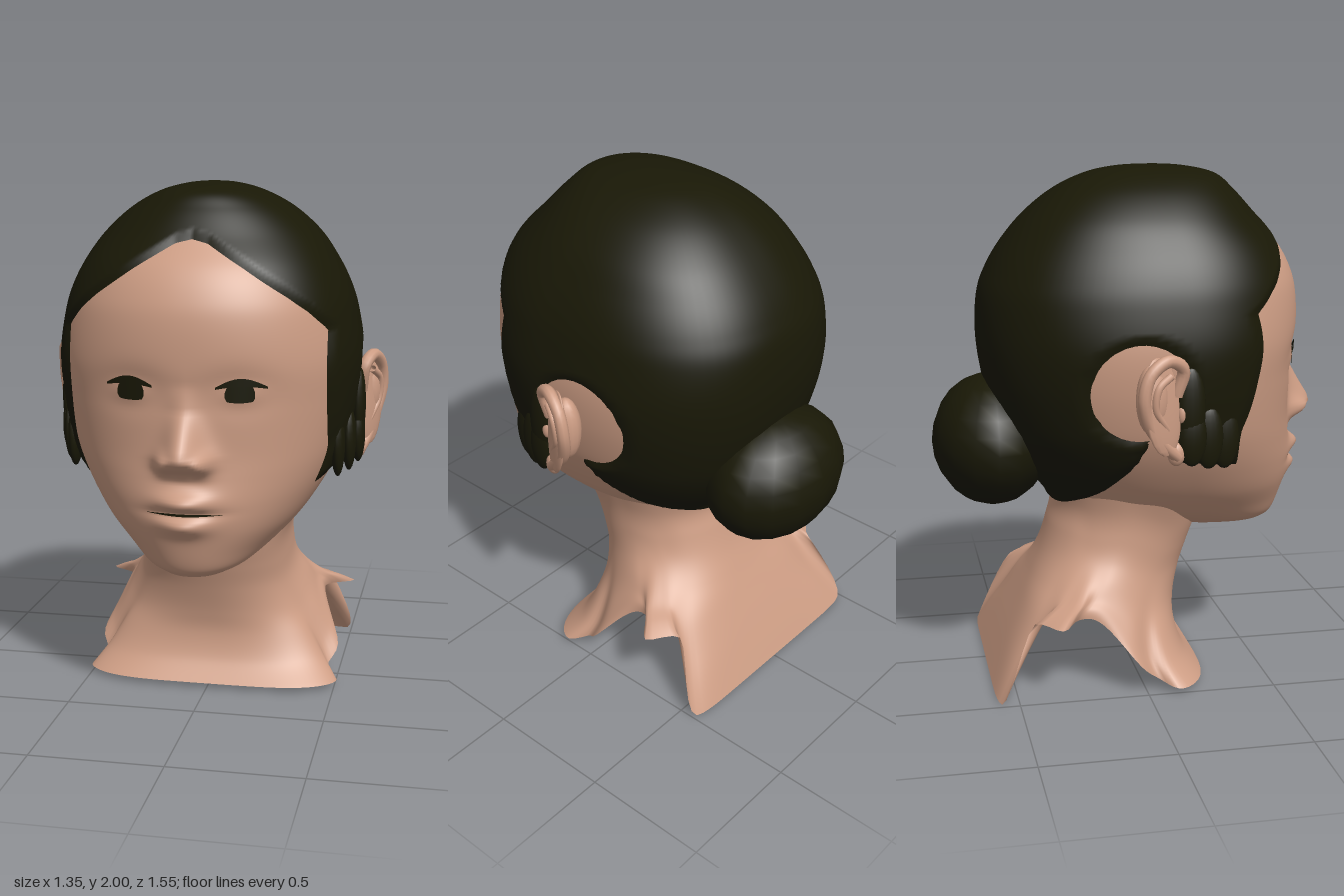
import * as THREE from 'three';
import { mergeVertices } from 'three/addons/utils/BufferGeometryUtils.js';

const material = (name, color) => {
  const m = new THREE.MeshStandardMaterial({ color, side: THREE.DoubleSide });
  m.name = name;
  return m;
};
const clamp = THREE.MathUtils.clamp;
const smooth = THREE.MathUtils.smoothstep;
const gauss = (x, y, cx, cy, sx, sy) => Math.exp(-(((x - cx) / sx) ** 2 + ((y - cy) / sy) ** 2) / 2);

// Piecewise linear lookup through [key, value] pairs
function lookup(pairs, k) {
  if (k <= pairs[0][0]) return pairs[0][1];
  for (let i = 1; i < pairs.length; i++) {
    const [a, va] = pairs[i - 1], [b, vb] = pairs[i];
    if (k <= b) return va + (vb - va) * (k - a) / (b - a);
  }
  return pairs[pairs.length - 1][1];
}

// Smooth interpolation through table rows, t from 0 to 1
function spline(rows, t) {
  const n = rows.length - 1, s = t * n, i = Math.min(Math.floor(s), n - 1), f = s - i;
  const [p, q, r, w] = [i - 1, i, i + 1, i + 2].map(k => rows[clamp(k, 0, n)]);
  return q.map((b, k) => b + 0.5 * f * (r[k] - p[k] + f * (2 * p[k] - 5 * b + 4 * r[k] - w[k]
    + f * (3 * (b - r[k]) + w[k] - p[k]))));
}

// Point on a ring whose front and back halves have their own depth and squareness
function ringPoint(a, hw, front, back, zc, nf, nb) {
  const s = Math.sin(a), c = Math.cos(a), n = c > 0 ? nf : nb;
  const r = 1 / (Math.abs(s) ** n + Math.abs(c) ** n) ** (1 / n);
  return [hw * s * r, zc + (c > 0 ? front - zc : zc - back) * c * r];
}

// Closed surface from fn(t, u): t runs upward, u runs -1..1 around
function loft(rows, cols, fn, keep = () => true) {
  const pos = [], idx = [], kept = [];
  for (let i = 0; i <= rows; i++) for (let j = 0; j <= cols; j++) {
    const p = fn(i / rows, j % cols / cols * 2 - 1);
    pos.push(...p);
    kept.push(keep(p));
  }
  const tri = (a, b, c) => { if (kept[a] || kept[b] || kept[c]) idx.push(a, b, c); };
  for (let i = 0; i < rows; i++) for (let j = 0; j < cols; j++) {
    const a = i * (cols + 1) + j, d = a + cols + 1;
    tri(a, a + 1, d + 1);
    tri(a, d + 1, d);
  }
  let g = new THREE.BufferGeometry();
  g.setAttribute('position', new THREE.Float32BufferAttribute(pos, 3));
  g.setIndex(idx);
  g = mergeVertices(g, 1e-5);
  g.computeVertexNormals();
  return g;
}

// Head rings: height, half width, front, back
const HEAD = [
  [0.55, 0, 0.4, 0.4], [0.556, 0.1, 0.55, 0.22], [0.572, 0.15, 0.59, 0.14], [0.60, 0.205, 0.615, 0.02],
  [0.66, 0.285, 0.635, -0.26], [0.75, 0.37, 0.65, -0.34], [0.85, 0.44, 0.655, -0.42],
  [0.95, 0.495, 0.652, -0.48], [1.05, 0.532, 0.65, -0.52], [1.2, 0.563, 0.658, -0.56],
  [1.35, 0.572, 0.675, -0.578], [1.5, 0.55, 0.673, -0.57], [1.6, 0.52, 0.65, -0.535],
  [1.7, 0.47, 0.595, -0.475], [1.8, 0.4, 0.5, -0.39], [1.89, 0.3, 0.42, -0.28],
  [1.95, 0.19, 0.35, -0.16], [1.978, 0.09, 0.23, -0.04], [1.986, 0, 0.1, 0.1]];
const NOSE = [[0.94, 0], [0.975, 0.03], [1.0, 0.082], [1.03, 0.12], [1.06, 0.113], [1.12, 0.073], [1.2, 0.022], [1.29, 0]];
const FRONT_CURVE = 2.1, BACK_CURVE = 2.45, middle = (front, back) => back + (front - back) * 0.56;

// Relief of nose, lips and eyes
function relief(x, y) {
  const ax = Math.abs(x);
  return lookup(NOSE, y) * gauss(x, 0, 0, 0, lookup([[1.03, 0.056], [1.2, 0.036]], y), 1)
    + 0.042 * gauss(ax, y, 0.072, 1.01, 0.024, 0.026)
    + 0.025 * gauss(x, y, 0, 0.84, 0.13, 0.09)
    + 0.044 * gauss(x, y, 0, 0.868, 0.066, 0.024)
    + 0.038 * gauss(x, y, 0, 0.778, 0.062, 0.026)
    - 0.02 * gauss(x, y, 0, 0.822, 0.08, 0.012)
    - 0.022 * gauss(ax, y, 0.19, 1.27, 0.085, 0.05)
    + 0.02 * gauss(ax, y, 0.2, 1.26, 0.055, 0.03);
}

function headPoint(t, u) {
  const [y, hw, front, back] = spline(HEAD, t);
  const a = Math.PI * (0.5 * u + 0.5 * u ** 3);
  const [x, z] = ringPoint(a, hw, front, back, middle(front, back), FRONT_CURVE, BACK_CURVE);
  return [x, y, z + (Math.cos(a) > 0 ? relief(x, y) * smooth(Math.cos(a), 0.1, 0.5) : 0)];
}

// Depth of the face at a given x and y
function faceZ(x, y) {
  let lo = 0, hi = 1;
  for (let i = 0; i < 30; i++) {
    const m = (lo + hi) / 2;
    if (spline(HEAD, m)[0] < y) lo = m; else hi = m;
  }
  const [, hw, front, back] = spline(HEAD, lo), zc = middle(front, back);
  return zc + (front - zc) * (1 - Math.abs(x / hw) ** FRONT_CURVE) ** (1 / FRONT_CURVE) + relief(x, y);
}

// Signed reach of the hair: positive where hair covers the head
const HAIRLINE = [[0, 1.8], [0.06, 1.785], [0.2, 1.7], [0.35, 1.6], [0.42, 1.545], [0.5, 1.46]];
const NAPE = [[-0.3, 0.66], [-0.15, 0.78], [-0.05, 0.9], [0, 1.02], [0.09, 1.02], [0.12, 0.92], [0.35, 0.89]];
const hairReach = ([x, y, z]) => Math.min(
  Math.max(0.35 - z, y - lookup(HAIRLINE, Math.abs(x)), Math.abs(x) - 0.485),
  Math.hypot(z + 0.04, y - 1.2) - 0.185,
  0.5 * (y - lookup(NAPE, z)));

function hairPoint(t, u) {
  const p = headPoint(t, u), off = clamp(hairReach(p) * 0.6, -0.012, 0.014);
  const dir = new THREE.Vector3(p[0], p[1] - 1.2, p[2] - 0.1).normalize();
  return [p[0] + dir.x * off, p[1] + dir.y * off, p[2] + dir.z * off];
}

// Neck rings: half width, front, back, height at front, side and back, squareness front and back, side pinch
const NECK = [
  [0.36, 0.3, -0.33, 0.72, 0.84, 0.82, 2.1, 2.2, 0], [0.31, 0.285, -0.305, 0.6, 0.67, 0.68, 2.1, 2.2, 0],
  [0.305, 0.25, -0.325, 0.5, 0.56, 0.58, 2.1, 2.2, 0], [0.32, 0.215, -0.355, 0.4, 0.48, 0.48, 2.1, 2.3, 0],
  [0.37, 0.185, -0.395, 0.29, 0.41, 0.39, 2.3, 2.6, 0.03], [0.43, 0.175, -0.44, 0.2, 0.36, 0.3, 2.8, 3.5, 0.1],
  [0.49, 0.2, -0.51, 0.1, 0.33, 0.16, 3.4, 5, 0.16], [0.55, 0.26, -0.585, 0.02, 0.3, 0, 4, 9, 0.24]];
function neckPoint(t, u) {
  const [hw, front, back, yf, ys, yb, nf, nb, pinch] = spline(NECK, 1 - t);
  const a = Math.PI * u, c = Math.cos(a);
  const [x, z] = ringPoint(a, hw, front, back, (front + back) / 2, nf, nb);
  const wf = smooth(c, -0.15, 0.6), wb = smooth(-c, 0.52, 0.75);
  // Ragged shoulder edge: a point behind, a notch in front
  const ragged = 1 - wf - wb - 0.85 * gauss(c, 0, -0.38, 0, 0.07, 1) + 0.5 * gauss(c, 0, 0.45, 0, 0.07, 1);
  return [x * (1 - pinch * ragged), ys + (yf - ys) * wf + (yb - ys) * wb, z];
}

// Thin strip lying on the face between two height curves
function facePlate(x0, x1, low, high, lift) {
  const pos = [], idx = [], n = 16;
  for (let i = 0; i <= n; i++) {
    const x = x0 + (x1 - x0) * i / n, k = Math.sin(Math.PI * i / n);
    for (const y of [low(k), high(k)]) pos.push(x, y, faceZ(x, y) + lift);
    if (i < n) idx.push(2 * i, 2 * i + 2, 2 * i + 3, 2 * i, 2 * i + 3, 2 * i + 1);
  }
  const g = new THREE.BufferGeometry();
  g.setAttribute('position', new THREE.Float32BufferAttribute(pos, 3));
  g.setIndex(idx);
  g.computeVertexNormals();
  return g;
}

export function createModel() {
  const model = new THREE.Group();
  const skin = material('skin', 0xcd9d84);
  const hair = material('hair', 0x191806);
  const add = (name, geo, mat, parent = model) => {
    const m = new THREE.Mesh(geo, mat);
    m.name = name;
    parent.add(m);
    return m;
  };
  const blob = (name, mat, parent, p, s) => {
    const m = add(name, new THREE.SphereGeometry(1, 16, 12), mat, parent);
    m.position.set(...p);
    m.scale.set(...s);
    return m;
  };
  const tube = (name, pts, r, parent) => add(name, new THREE.TubeGeometry(
    new THREE.CatmullRomCurve3(pts.map(p => new THREE.Vector3(...p))), 36, r, 10), skin, parent);

  add('head', loft(170, 160, headPoint), skin);
  add('neck', loft(56, 144, neckPoint), skin);
  add('hairCap', loft(170, 160, hairPoint, p => hairReach(p) > -0.03), hair);

  // Bun at the nape
  blob('hairBun', hair, model, [0, 0.93, -0.54], [0.322, 0.26, 0.236]);

  add('mouthLine', facePlate(-0.14, 0.14, k => 0.822 - 0.005 * k, k => 0.823 + 0.004 * k, 0.004), hair);

  for (const [side, sx] of [['left', 1], ['right', -1]]) {
    const half = new THREE.Group();
    half.name = side + 'Side';
    half.scale.x = sx;
    model.add(half);

    // Eye
    add('iris', facePlate(0.148, 0.252, k => 1.25 - 0.018 * k ** 0.2, k => 1.27 + 0.024 * k ** 0.2, 0.005), hair, half);
    add('upperLash', facePlate(0.115, 0.295, k => 1.282 + 0.01 * k, k => 1.29 + 0.031 * k, 0.008), hair, half);

    // Ear
    const shell = blob('earShell', skin, half, [0.612, 1.165, 0.02], [0.018, 0.185, 0.085]);
    shell.rotation.set(-0.12, -0.46, 0);
    blob('earBack', skin, half, [0.595, 1.19, -0.015], [0.055, 0.13, 0.06]);
    tube('earRim', [[0.58, 1.2, 0.08], [0.595, 1.3, 0.1], [0.622, 1.335, 0.04], [0.646, 1.29, -0.03],
      [0.651, 1.2, -0.055], [0.628, 1.1, -0.03], [0.6, 1.01, 0.04], [0.58, 0.97, 0.085]], 0.024, half);
    tube('earFold', [[0.62, 1.28, 0.05], [0.644, 1.24, 0.0], [0.642, 1.16, -0.01], [0.61, 1.08, 0.04]], 0.014, half);
    blob('earTragus', skin, half, [0.58, 1.13, 0.1], [0.022, 0.04, 0.02]);
    blob('earLobe', skin, half, [0.578, 0.98, 0.08], [0.025, 0.045, 0.033]);

    // Loose locks in front of the ear
    for (const [x, y, z, h] of [[0.578, 1.15, 0.135, 0.15], [0.578, 1.04, 0.14, 0.11], [0.55, 1.03, 0.21, 0.12], [0.515, 1.02, 0.28, 0.12]])
      blob('sideLock', hair, half, [x, y, z], [0.026, h, 0.055]);
  }
  return model;
}
